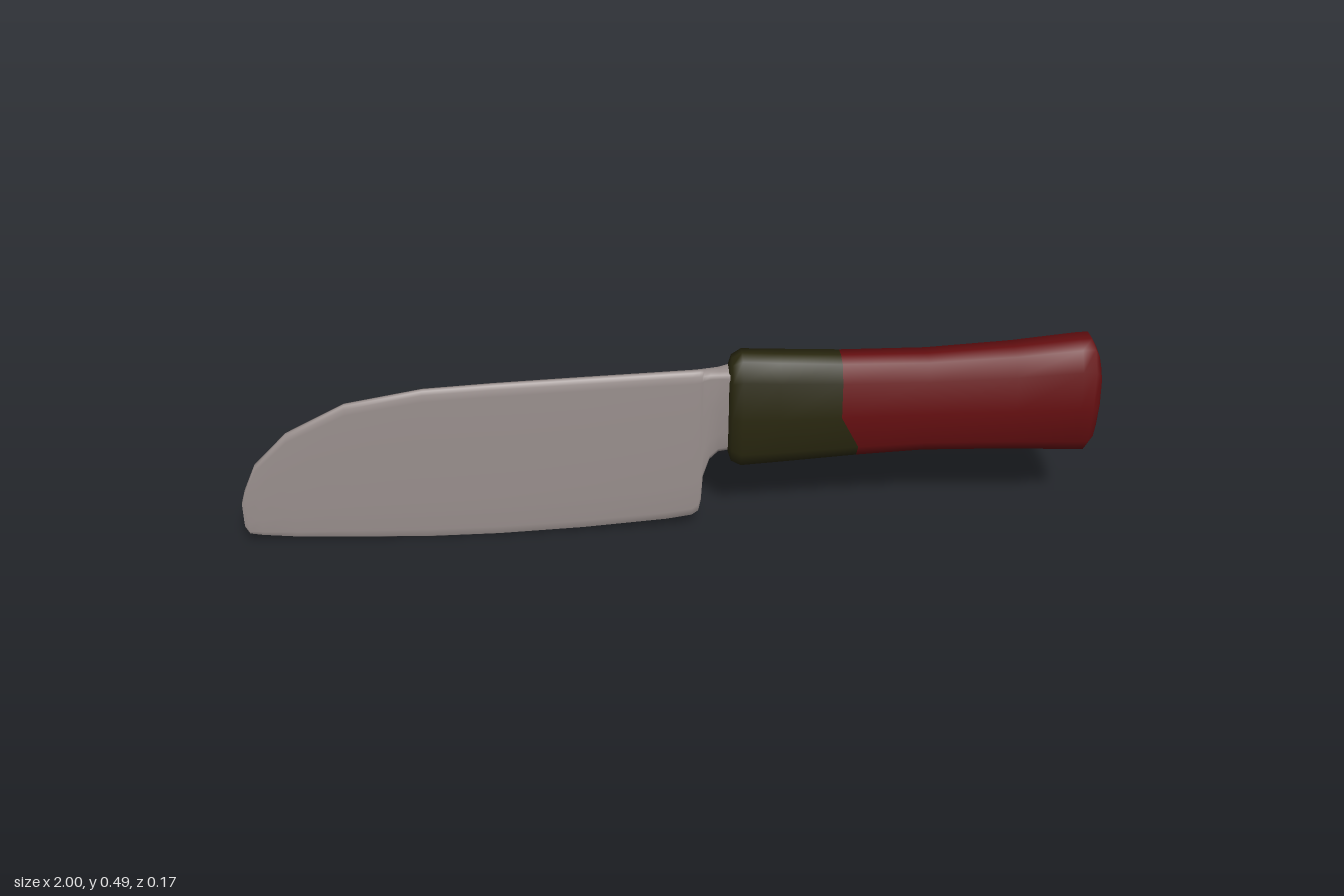
import * as THREE from 'three';

const steel = new THREE.MeshStandardMaterial({ color: 0x9a908e });
steel.name = 'steel';
const red = new THREE.MeshStandardMaterial({ color: 0x660f11 });
red.name = 'darkRed';
const olive = new THREE.MeshStandardMaterial({ color: 0x2a2810 });
olive.name = 'darkOlive';

// Half profile from top to bottom as [z, y] in -1..1, mirrored into a closed ring
const ringOf = (half) => [...half, ...half.slice(1, -1).reverse().map(([z, y]) => [-z, y])];

// Skin over stations [x, bottom, top, halfDepth] along +x, smooth sides and sharp end caps.
// Sides before the station "split" use material 0, the rest the last material.
function loft(name, stations, ring, materials, split = 0, shift = () => 0) {
  const n = ring.length, pos = [], index = [];
  const addRing = ([x, bottom, top, depth], s) => {
    const first = pos.length / 3;
    for (const [z, y] of ring) {
      pos.push(x + shift(s, y), (top + bottom) / 2 + (y * (top - bottom)) / 2, z * depth);
    }
    return first;
  };
  const addCap = (s, outward) => {
    const [x, bottom, top] = stations[s];
    const first = addRing(stations[s], s), centre = pos.length / 3;
    pos.push(x, (top + bottom) / 2, 0);
    for (let i = 0; i < n; i++) {
      const a = first + i, b = first + ((i + 1) % n);
      index.push(centre, ...(outward > 0 ? [a, b] : [b, a]));
    }
  };
  stations.forEach(addRing);
  const last = stations.length - 1;
  addCap(0, -1);
  let splitAt = index.length;
  for (let s = 0; s < last; s++) {
    if (s === split) splitAt = index.length;
    for (let i = 0; i < n; i++) {
      const j = (i + 1) % n;
      const a = s * n + i, b = s * n + j, c = a + n, d = b + n;
      index.push(a, b, c, b, d, c);
    }
  }
  addCap(last, 1);
  const geometry = new THREE.BufferGeometry();
  geometry.setAttribute('position', new THREE.Float32BufferAttribute(pos, 3));
  geometry.setIndex(index);
  geometry.computeVertexNormals();
  if (materials.length > 1) {
    geometry.addGroup(0, splitAt, 0);
    geometry.addGroup(splitAt, index.length - splitAt, 1);
  }
  const mesh = new THREE.Mesh(geometry, materials.length > 1 ? materials : materials[0]);
  mesh.name = name;
  return mesh;
}

export function createModel() {
  const group = new THREE.Group();
  group.name = 'kitchenKnife';

  // Blade: rounded spine, thinner cutting edge, stepped heel running into the neck
  const bladeRing = ringOf([
    [0, 1], [0.5, 0.99], [0.85, 0.95], [1, 0.87], [1, 0.2],
    [0.85, -0.5], [0.65, -0.88], [0.4, -0.98], [0, -1],
  ]);
  group.add(loft('blade', [
    [-1, 0.05, 0.12, 0.005],
    [-0.99, 0.03, 0.155, 0.008],
    [-0.96, 0.024, 0.225, 0.009],
    [-0.88, 0.015, 0.31, 0.01],
    [-0.74, 0.008, 0.385, 0.011],
    [-0.56, 0.002, 0.418, 0.012],
    [-0.4, 0.003, 0.427, 0.013],
    [-0.2, 0.012, 0.435, 0.014],
    [0, 0.028, 0.442, 0.015],
    [0.06, 0.038, 0.444, 0.016],
    [0.075, 0.05, 0.445, 0.016],
    [0.081, 0.08, 0.445, 0.017],
    [0.085, 0.15, 0.445, 0.018],
    [0.1, 0.2, 0.446, 0.019],
    [0.12, 0.222, 0.447, 0.022],
    [0.16, 0.232, 0.452, 0.034],
  ], bladeRing, [steel]));

  // Handle: waisted grip with a dark collar; the colour border dips back on the underside
  const handleRing = ringOf([
    [0, 1], [0.5, 0.96], [0.87, 0.67], [1, 0], [0.87, -0.67], [0.5, -0.96], [0, -1],
  ]);
  group.add(loft('handle', [
    [0.142, 0.225, 0.455, 0.036],
    [0.149, 0.203, 0.475, 0.051],
    [0.172, 0.192, 0.488, 0.061],
    [0.26, 0.199, 0.482, 0.064],
    [0.4, 0.213, 0.474, 0.066],
    [0.6, 0.222, 0.471, 0.069],
    [0.8, 0.219, 0.481, 0.076],
    [0.95, 0.212, 0.495, 0.082],
    [0.98, 0.212, 0.496, 0.083],
    [0.991, 0.232, 0.476, 0.079],
    [1, 0.265, 0.445, 0.06],
  ], handleRing, [olive, red], 4, (s, y) => (s === 4 && y < -0.5 ? 0.043 : 0)));

  return group;
}
